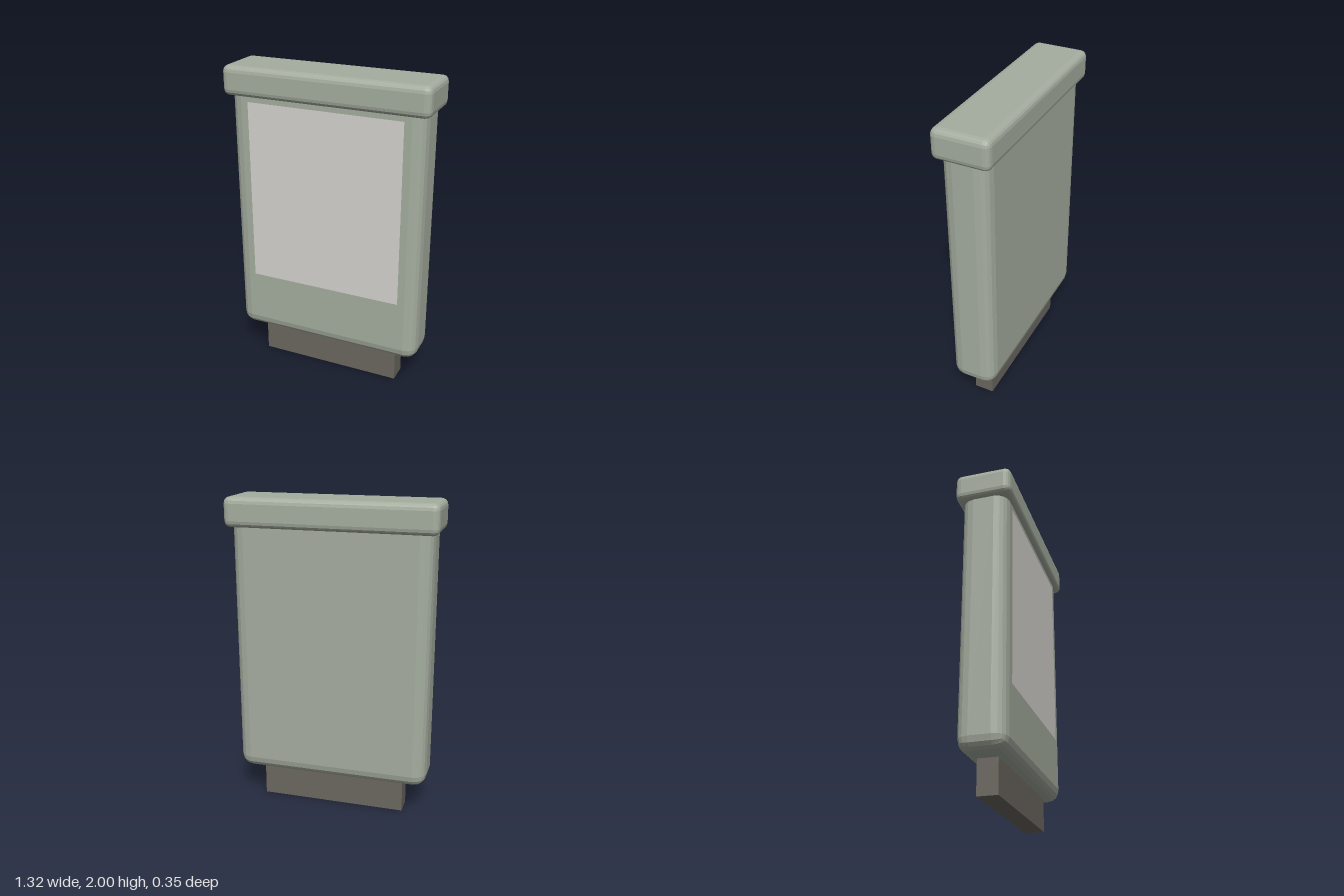
import * as THREE from 'three';
import { RoundedBoxGeometry } from 'three/addons/geometries/RoundedBoxGeometry.js';

export function createModel() {
  const group = new THREE.Group();
  const shell = new THREE.MeshStandardMaterial({ color: 0xa5ad9f, flatShading: true });
  const metal = new THREE.MeshStandardMaterial({ color: 0x6b6760, flatShading: true });
  const paper = new THREE.MeshStandardMaterial({ color: 0xd6d4ce, side: THREE.DoubleSide });

  // Adds a part spanning bottom..top in y
  const add = (name, geometry, material, bottom, top, z = 0) => {
    const mesh = new THREE.Mesh(geometry, material);
    mesh.name = name;
    mesh.position.set(0, (bottom + top) / 2, z);
    group.add(mesh);
  };

  // Foot under the cabinet, reaching slightly into it
  add('base', new THREE.BoxGeometry(0.94, 0.23, 0.125), metal, 0, 0.23);

  // Cabinet with rounded edges, its top hidden in the cap
  add('body', new RoundedBoxGeometry(1.25, 1.69, 0.29, 2, 0.08), shell, 0.21, 1.9);

  // Overhanging lid
  add('cap', new RoundedBoxGeometry(1.316, 0.185, 0.354, 2, 0.04), shell, 1.815, 2);

  // Display sheet on the front face
  add('displayPanel', new THREE.PlaneGeometry(1, 1.17), paper, 0.615, 1.785, 0.147);

  return group;
}
